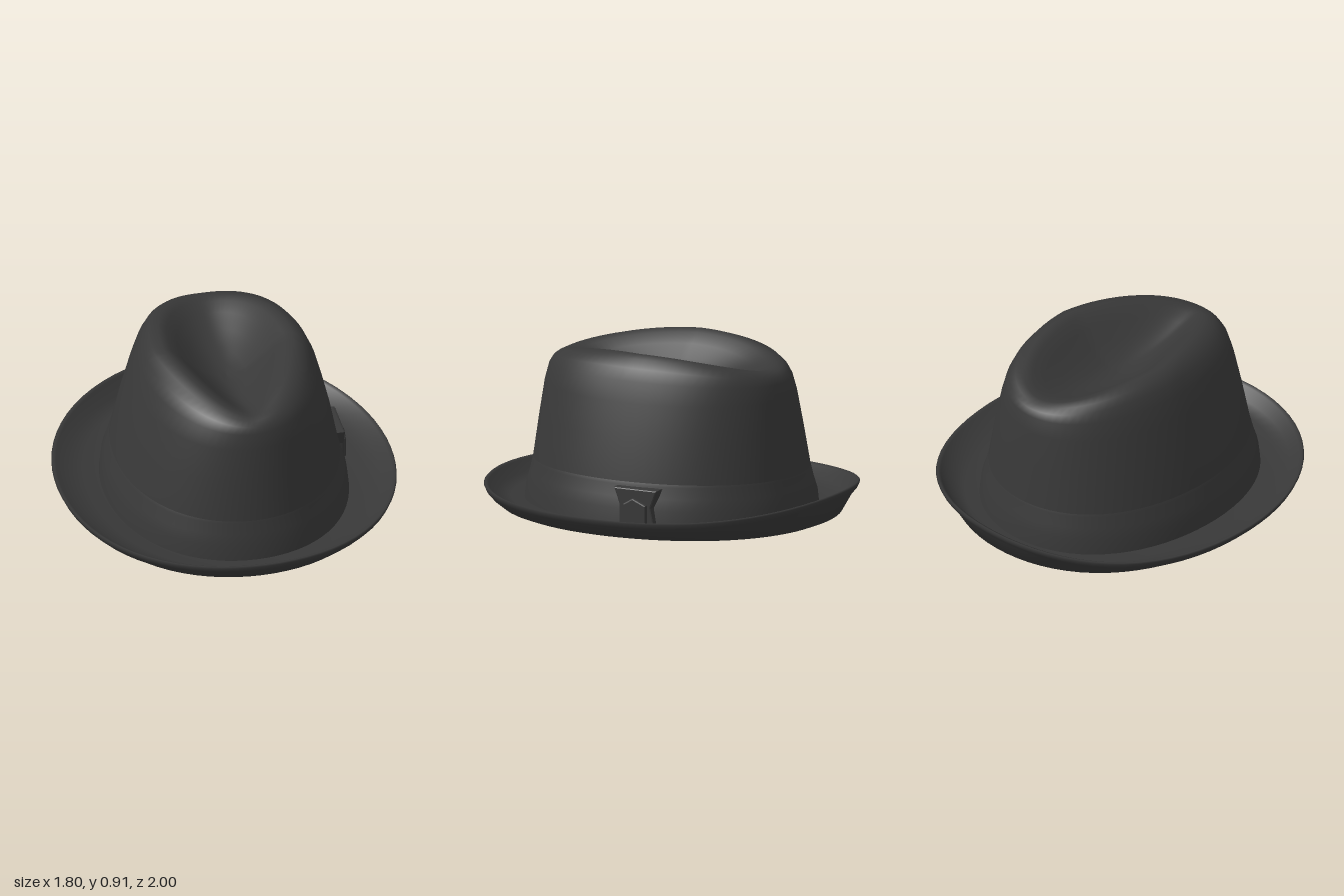
import * as THREE from 'three';

const SEGMENTS = 72;

// Lofts a smooth skin through rings; each ring is [rx, rz, heightAt(cos, sin), pinch at the front].
function loft(rings) {
  const pos = [], index = [];
  for (const [rx, rz, height, pinch = 0] of rings) {
    for (let j = 0; j < SEGMENTS; j++) {
      const a = (j / SEGMENTS) * Math.PI * 2, c = Math.cos(a), s = Math.sin(a);
      const y = typeof height === 'function' ? height(c, s) : height;
      const lean = 0.03 * Math.max(0, y - 0.2);
      const full = 1 + 0.018 * Math.sin(2 * a) ** 2; // slightly squarer than an ellipse
      pos.push(rx * s * full * (1 - pinch * Math.max(0, c)) + lean, y, rz * c * full);
    }
  }
  for (let i = 0; i < rings.length - 1; i++) {
    for (let j = 0; j < SEGMENTS; j++) {
      const k = (j + 1) % SEGMENTS;
      const a = i * SEGMENTS + j, b = i * SEGMENTS + k;
      index.push(a, b, b + SEGMENTS, a, b + SEGMENTS, a + SEGMENTS);
    }
  }
  const geo = new THREE.BufferGeometry();
  geo.setAttribute('position', new THREE.Float32BufferAttribute(pos, 3));
  geo.setIndex(index);
  geo.computeVertexNormals();
  return geo;
}

// Height that is low at front and back and high at the sides.
const saddle = (low, high) => (c, s) => low + (high - low) * Math.abs(s) ** 1.7;
// Brim edge height, turned up most at the back.
const edge = (drop) => (c) => 0.122 - drop + Math.abs(c) ** 3 * (c > 0 ? 0.02 : 0.07);

export function createModel() {
  const hat = new THREE.Group();
  hat.name = 'hat';
  const felt = new THREE.MeshStandardMaterial({ color: 0x383838 });
  felt.name = 'charcoal felt';

  const add = (name, geometry) => {
    const mesh = new THREE.Mesh(geometry, felt);
    mesh.name = name;
    hat.add(mesh);
    return mesh;
  };

  // Crown: tapering wall, rounded shoulder and teardrop hollow
  add('crown', loft([
    [0.63, 0.78, 0.04],
    [0.612, 0.765, 0.18],
    [0.592, 0.75, 0.3],
    [0.548, 0.722, 0.5, 0.01],
    [0.5, 0.696, 0.68, 0.03],
    [0.466, 0.676, saddle(0.762, 0.79), 0.06],
    [0.435, 0.657, saddle(0.795, 0.855), 0.13],
    [0.4, 0.63, saddle(0.815, 0.9), 0.22],
    [0.35, 0.588, saddle(0.822, 0.917), 0.31],
    [0.305, 0.54, saddle(0.813, 0.9), 0.36],
    [0.25, 0.47, saddle(0.79, 0.85), 0.38],
    [0.18, 0.37, saddle(0.757, 0.785), 0.38],
    [0.1, 0.24, 0.725, 0.3],
    [0.04, 0.1, 0.708],
    [0, 0, 0.703],
  ]));

  // Ribbon around the foot of the crown
  add('ribbon', loft([
    [0.65, 0.8, 0.03],
    [0.638, 0.788, 0.14],
    [0.618, 0.77, 0.2],
    [0.602, 0.757, 0.262],
    [0.595, 0.751, 0.28],
  ]));

  // Brim: shallow inner lining, rolled underside, upturned edge and top
  add('brim', loft([
    [0, 0, 0.255],
    [0.52, 0.635, 0.25],
    [0.54, 0.655, 0.235],
    [0.56, 0.675, 0.13],
    [0.583, 0.693, 0.06],
    [0.615, 0.725, 0.022],
    [0.67, 0.785, 0.005],
    [0.745, 0.86, 0.009],
    [0.8, 0.912, 0.03],
    [0.855, 0.963, edge(0.058)],
    [0.888, 0.99, edge(0.025)],
    [0.9, 1, edge(0)],
    [0.893, 0.992, edge(-0.008)],
    [0.875, 0.975, edge(0)],
    [0.82, 0.93, 0.088],
    [0.73, 0.87, 0.062],
    [0.6, 0.75, 0.052],
  ]));

  // Flat bow on the left side of the ribbon
  const plate = (name, points, depth, x) => {
    const shape = new THREE.Shape(points.map(([s, y]) => new THREE.Vector2(s, y)));
    const geo = new THREE.ExtrudeGeometry(shape, {
      depth, bevelEnabled: true, bevelThickness: 0.01, bevelSize: 0.008, bevelSegments: 2,
    });
    const mesh = add(name, geo);
    mesh.rotation.y = Math.PI / 2;
    mesh.position.x = x;
  };
  plate('bow', [[0.03, 0.07], [0.22, 0.07], [0.2, 0.16], [0.235, 0.25], [0, 0.25], [0.03, 0.17]], 0.055, 0.588);
  plate('bowKnot', [[0.06, 0.07], [0.18, 0.07], [0.18, 0.17], [0.11, 0.2], [0.06, 0.17]], 0.05, 0.612);

  return hat;
}
